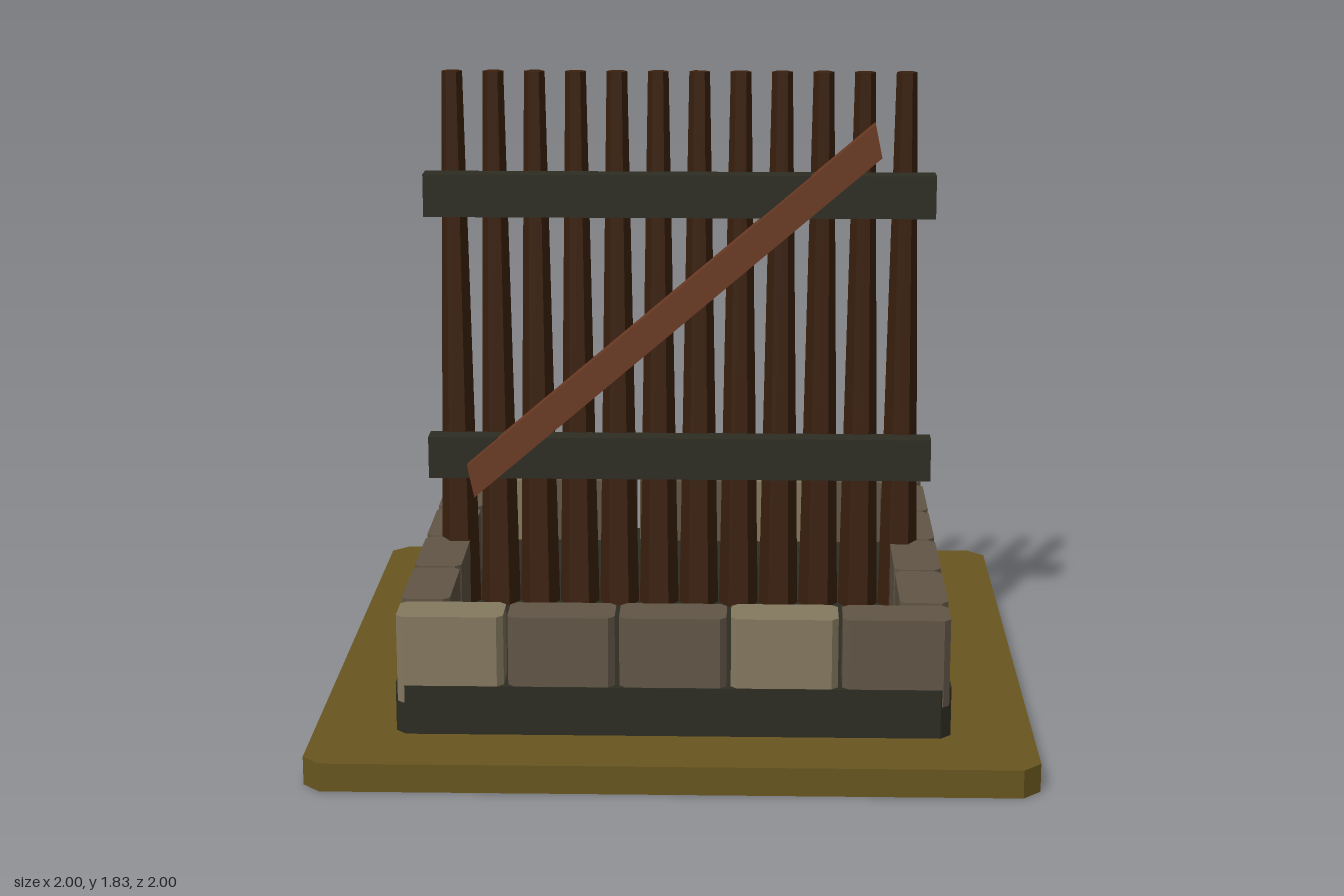
import * as THREE from 'three';

const mat = (name, color) => {
  const m = new THREE.MeshStandardMaterial({ color });
  m.name = name;
  return m;
};

// Upright slab: a rectangle with cut corners, extruded from y0 to y1
function slab(w, d, cut, y0, y1) {
  const x = w / 2, z = d / 2;
  const shape = new THREE.Shape([
    [-x + cut, -z], [x - cut, -z], [x, -z + cut], [x, z - cut],
    [x - cut, z], [-x + cut, z], [-x, z - cut], [-x, -z + cut],
  ].map(([a, b]) => new THREE.Vector2(a, b)));
  const geo = new THREE.ExtrudeGeometry(shape, { depth: y1 - y0, bevelEnabled: false });
  return geo.rotateX(-Math.PI / 2).translate(0, y0, 0);
}

export function createModel() {
  const model = new THREE.Group();
  const earth = mat('ochre earth', 0x69571f);
  const dark = mat('dark timber', 0x2d2d23);
  const stone = mat('grey brown stone', 0x625646);
  const paleStone = mat('pale stone', 0x85795f);
  const wood = mat('dark brown wood', 0x3b200e);
  const brace = mat('red brown wood', 0x6b3a23);

  const add = (parent, name, geo, material, x = 0, y = 0, z = 0) => {
    const mesh = new THREE.Mesh(geo, material);
    mesh.name = name;
    mesh.position.set(x, y, z);
    parent.add(mesh);
  };

  // Ground slab and plinth
  add(model, 'groundSlab', slab(2, 2, 0.05, 0, 0.08), earth);
  add(model, 'plinth', slab(1.54, 1.54, 0.03, 0.08, 0.22), dark);

  // Ring of stone blocks: five along front and back, four along each side
  const ring = new THREE.Group();
  ring.name = 'stoneRing';
  model.add(ring);
  const pitch = 0.308, length = 0.296, depth = 0.136, offset = 0.699;
  const longBlock = slab(length, depth, 0.018, 0.17, 0.42);
  const sideBlock = slab(depth, length, 0.018, 0.17, 0.42);
  for (const s of [-1, 1]) {
    for (let i = 0; i < 5; i++) {
      add(ring, 'rowStone', longBlock, i % 3 === 0 ? paleStone : stone, (i - 2) * pitch, 0, s * offset);
    }
    for (let i = 0; i < 4; i++) {
      add(ring, 'sideStone', sideBlock, stone, s * offset, 0, (i - 1.5) * pitch);
    }
  }

  // Tapered six-sided pickets
  const fence = new THREE.Group();
  fence.name = 'fence';
  model.add(fence);
  const picketGeo = new THREE.CylinderGeometry(0.03, 0.059, 1.63, 6)
    .rotateY(Math.PI / 2).toNonIndexed();
  picketGeo.computeVertexNormals();
  for (let i = 0; i < 12; i++) add(fence, 'picket', picketGeo, wood, -0.663 + i * 0.12, 1.015, 0);

  // Cross rails
  const railGeo = new THREE.BoxGeometry(1.485, 0.125, 0.07);
  for (const y of [0.695, 1.48]) add(fence, 'rail', railGeo, dark, 0, y, 0.072);

  // Slanted brace with skewed ends
  const braceShape = new THREE.Shape([
    new THREE.Vector2(-0.605, 0.583), new THREE.Vector2(0.583, 1.6),
    new THREE.Vector2(0.563, 1.697), new THREE.Vector2(-0.625, 0.68),
  ]);
  add(fence, 'diagonalBrace',
    new THREE.ExtrudeGeometry(braceShape, { depth: 0.053, bevelEnabled: false }), brace, 0, 0, 0.09);

  return model;
}
